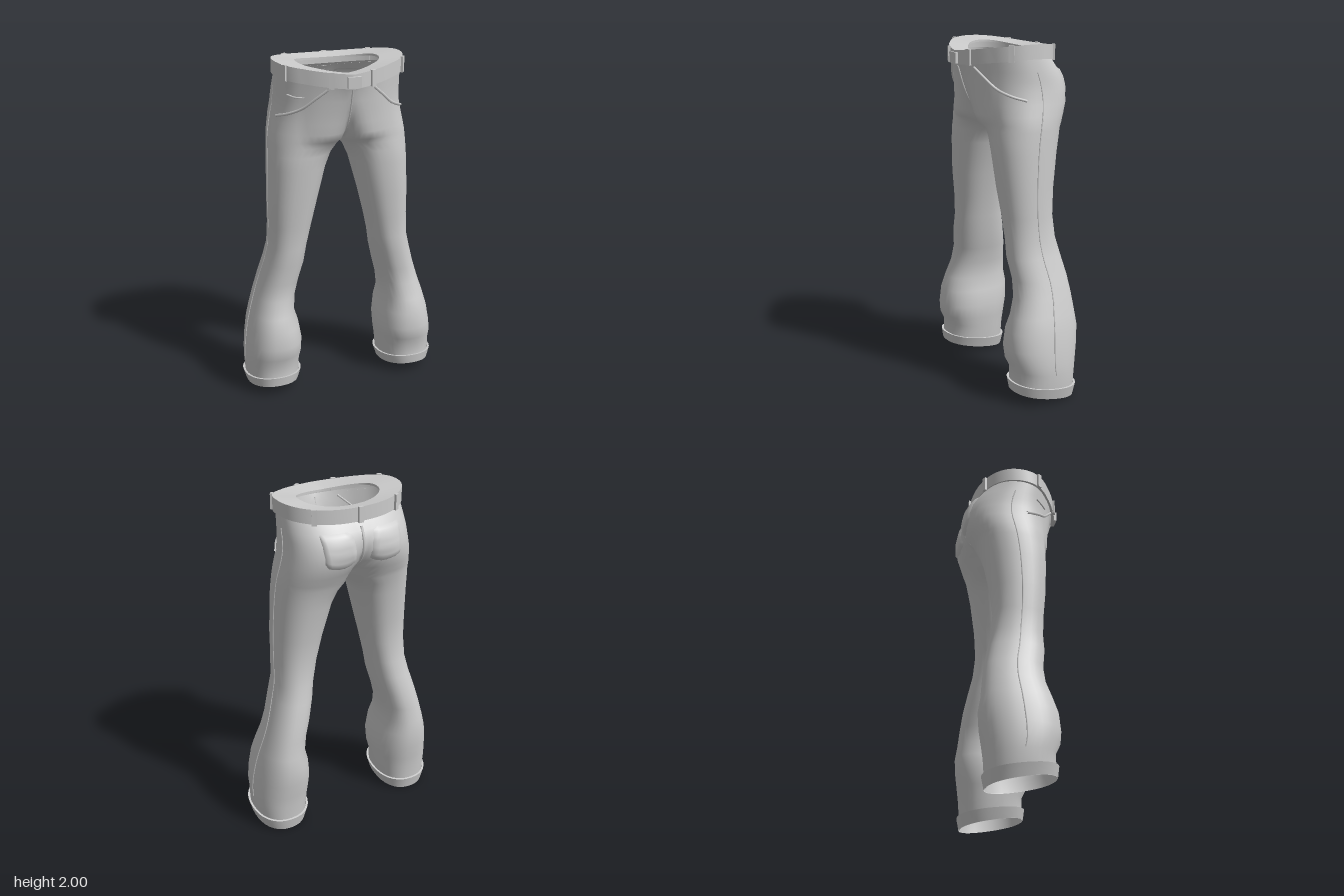
import * as THREE from 'three';
import { mergeGeometries, mergeVertices } from 'three/addons/utils/BufferGeometryUtils.js';

const material = new THREE.MeshStandardMaterial({ color: 0xcccccc, side: THREE.DoubleSide });

// Half-body sections, top to bottom: y, inner x, outer x, front z, back z, fly bulge.
// A negative inner x means the section is cut at the centre plane.
const ROWS = [
  [1.90, -0.355, 0.355, 0.235, -0.22, 0.05],
  [1.85, -0.25, 0.36, 0.22, -0.26, 0.05],
  [1.80, -0.18, 0.362, 0.21, -0.282, 0.055],
  [1.74, -0.125, 0.366, 0.2, -0.293, 0.06],
  [1.67, -0.07, 0.38, 0.19, -0.283, 0.07],
  [1.61, -0.03, 0.392, 0.185, -0.255, 0.08],
  [1.565, -0.01, 0.4, 0.182, -0.235, 0.07],
  [1.53, 0, 0.403, 0.18, -0.22, 0],
  [1.48, 0.045, 0.406, 0.18, -0.205, 0],
  [1.4, 0.08, 0.41, 0.178, -0.185, 0],
  [1.2, 0.133, 0.417, 0.165, -0.152, 0],
  [1.05, 0.17, 0.418, 0.148, -0.14, 0],
  [0.92, 0.2, 0.424, 0.14, -0.152, 0],
  [0.82, 0.217, 0.447, 0.142, -0.175, 0],
  [0.7, 0.248, 0.482, 0.125, -0.2, 0],
  [0.6, 0.274, 0.512, 0.132, -0.212, 0],
  [0.5, 0.283, 0.542, 0.165, -0.222, 0],
  [0.42, 0.262, 0.563, 0.193, -0.235, 0],
  [0.32, 0.247, 0.58, 0.203, -0.228, 0],
  [0.24, 0.252, 0.588, 0.195, -0.215, 0],
  [0.18, 0.262, 0.588, 0.168, -0.206, 0],
  [0.1, 0.268, 0.584, 0.17, -0.2, 0],
  [0.035, 0.28, 0.575, 0.172, -0.195, 0],
];
const bandY = z => 1.92 - 0.5 * z * z;
const spow = (v, p) => Math.sign(v) * Math.abs(v) ** p;

function section(y) {
  let k = 1;
  while (k < ROWS.length - 1 && ROWS[k][0] > y) k++;
  const a = ROWS[k - 1], b = ROWS[k], f = (a[0] - y) / (a[0] - b[0]);
  return a.map((v, i) => v + (b[i] - v) * f);
}

// Point on the cloth: t = -1 back/inner seam, 0 outer side, +1 front/inner seam
function surf(y, t, side = 1, off = 0) {
  const [, inner, outer, zf, zb, fly] = section(y), p = 0.88;
  const cx = (inner + outer) / 2, rx = (outer - inner) / 2;
  const limit = inner < 0 ? Math.acos(-((cx / rx) ** (1 / p))) : Math.PI;
  const c = Math.cos(t * limit), s = Math.sin(t * limit);
  let x = cx + (rx + off) * spow(c, p);
  if (inner <= 0 && Math.abs(t) === 1) x = 0;
  let z = (zf + zb) / 2 + ((zf - zb) / 2 + off) * spow(s, p);
  if (s > 0) z += fly * Math.sqrt(s) * Math.max(0, 1 - Math.abs(x) / 0.25);
  const yy = y >= 1.9 ? bandY(z) + 0.01 : y + 0.2 * z * Math.max(0, 1 - y / 0.3);
  return new THREE.Vector3(side * x - 0.01 * Math.min(1, y / 1.2), yy, z);
}

// Quad grid; fn(u, v) with u, v as whole-number steps
function grid(nu, nv, fn, flip = false) {
  const pos = [], idx = [];
  for (let v = 0; v <= nv; v++) for (let u = 0; u <= nu; u++) pos.push(...fn(u, v).toArray());
  for (let v = 0; v < nv; v++) for (let u = 0; u < nu; u++) {
    const a = v * (nu + 1) + u, b = a + 1, c = a + nu + 1, d = c + 1;
    idx.push(...(flip ? [a, c, b, b, c, d] : [a, b, c, b, d, c]));
  }
  const g = new THREE.BufferGeometry();
  g.setAttribute('position', new THREE.Float32BufferAttribute(pos, 3));
  g.setIndex(idx);
  return g;
}
function smooth(g) {
  const m = mergeVertices(g, 1e-4);
  m.computeVertexNormals();
  return m;
}

// Waist loop: u from 0 at the back centre, through the left side, to 0.5 at the front
function waist(u, off = 0) {
  u = (u + 1) % 1;
  return u <= 0.5 ? surf(1.9, 4 * u - 1, 1, off) : surf(1.9, 3 - 4 * u, -1, off);
}

export function createModel() {
  const group = new THREE.Group();
  const add = (name, geometry) => {
    const mesh = new THREE.Mesh(geometry, material);
    mesh.name = name;
    group.add(mesh);
    return mesh;
  };
  const seam = (name, points, r = 0.006) =>
    add(name, new THREE.TubeGeometry(new THREE.CatmullRomCurve3(points), 32, r, 5));

  // Hips and legs, both halves welded along the centre
  const N = 36;
  add('trouserBody', smooth(mergeGeometries([1, -1].map(s =>
    grid(N, ROWS.length - 1, (u, v) => surf(ROWS[v][0], (2 * u) / N - 1, s), s < 0)))));

  // Waistband: inner lip, rim, outer face, lower edge
  const M = 72;
  const ring = (off, dy, scale = 1) => u => {
    const q = waist(u / M, off), y = bandY(q.z) + dy;
    return new THREE.Vector3((q.x + 0.01) * scale - 0.01, y, q.z * scale);
  };
  const rings = [ring(0, 0.05, 0.67), ring(0, 0.062, 0.67), ring(0.014, 0.08), ring(0.014, 0), ring(-0.002, 0)];
  const strips = rings.slice(1).map((r, i) => smooth(grid(M, 1, (u, v) => (v ? r : rings[i])(u))));
  add('waistband', mergeGeometries(strips));

  // Belt loops and front fastening, facing outward from the band
  const tab = (name, u, w, h, d) => {
    const q = waist(u, 0.018), a = waist(u - 0.01), b = waist(u + 0.01);
    const mesh = add(name, new THREE.BoxGeometry(w, h, d));
    mesh.position.set(q.x, bandY(q.z) + 0.04, q.z);
    mesh.rotation.y = Math.atan2(b.z - a.z, a.x - b.x);
  };
  for (const u of [0, 0.11, 0.325, 0.457, 0.543, 0.675, 0.89]) tab('beltLoop', u, 0.028, 0.088, 0.016);
  tab('frontFastening', 0.5, 0.075, 0.06, 0.016);

  for (const s of [1, -1]) {
    // Curved front pocket opening
    seam('frontPocketEdge', [[1.87, 0.8], [1.82, 0.68], [1.76, 0.52], [1.725, 0.34], [1.7, 0.16]]
      .map(([y, t]) => surf(y, t, s, 0.004)), 0.008);

    // Raised back pocket with a rounded bottom
    const P = 10;
    add('backPocket', smooth(grid(P, P, (u, v) => {
      const f = u / P, bottom = 1.69 - 0.03 * (1 - (2 * f - 1) ** 2);
      const edge = u === 0 || v === 0 || u === P || v === P;
      return surf(1.86 + ((bottom - 1.86) * v) / P, -0.9 + 0.34 * f, s, edge ? -0.002 : 0.011);
    }, s < 0)));

    // Outer side seam
    seam('sideSeam', ROWS.slice(1, -2).map(r => surf(r[0], 0, s, 0)), 0.004);

    // Turned hem, standing slightly proud of the leg
    const hem = [[0.1, 0.002], [0.1, 0.014], [0.035, 0.005]];
    add('hem', mergeGeometries([0, 1].map(k => smooth(grid(N, 1, (u, v) =>
      surf(hem[k + v][0], (2 * u) / N - 1, s, hem[k + v][1]), s < 0)))));
  }

  // Small coin pocket stitching on the right hip
  seam('coinPocketEdge', [[1.83, 0.33], [1.82, 0.45], [1.82, 0.56]].map(([y, t]) => surf(y, t, -1, 0.003)), 0.005);

  // Centre seams, front fly and back
  const centre = t => [1.87, 1.8, 1.74, 1.67, 1.61].map(y => surf(y, t, 1, 0.002));
  seam('flySeam', centre(1), 0.005);
  seam('backSeam', centre(-1), 0.008);
  return group;
}
